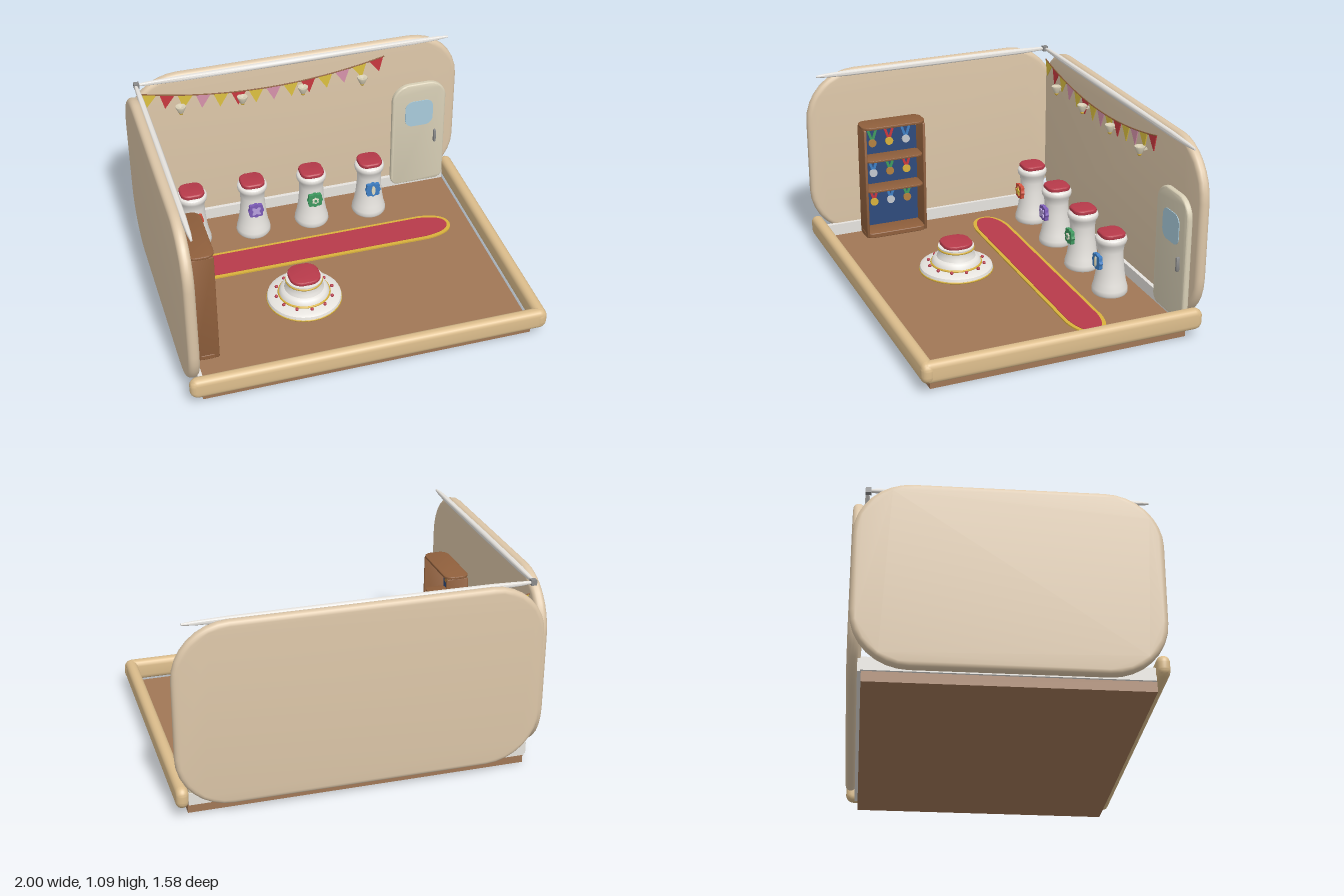
import * as THREE from 'three';
import { toCreasedNormals } from 'three/addons/utils/BufferGeometryUtils.js';

const C = {
  wall: 0xdcc6a8, rail: 0xdcbd8c, floor: 0xa07756, white: 0xe6e3de, red: 0xb73a4a, gold: 0xd9b23c,
  cream: 0xd8cfb6, wood: 0x8f5f3c, navy: 0x2e4a7c, glass: 0xa9cbdb, grey: 0x8a8a8a, silver: 0xc3c8cf,
  bronze: 0xb3803f, pink: 0xd792ab, yellow: 0xdcc040, flagRed: 0xc8383f, blue: 0x3f7fc4, green: 0x3f9a60,
  purple: 0x7d5cb8, orange: 0xd2503c,
};
const FLOOR = 0.055;

function mesh(parent, name, geometry, color, x = 0, y = 0, z = 0, double = false) {
  const m = new THREE.Mesh(geometry, new THREE.MeshStandardMaterial({ color }));
  if (double) m.material.side = THREE.DoubleSide;
  m.name = name;
  m.position.set(x, y, z);
  parent.add(m);
  return m;
}

function group(parent, name, x = 0, y = 0, z = 0) {
  const g = new THREE.Group();
  g.name = name;
  g.position.set(x, y, z);
  parent.add(g);
  return g;
}

// Rounded panel in the XY plane, centred, with a soft bevelled rim
function slab(w, h, d, r, bevel = 0, segments = 5, rBottom = r) {
  const a = w / 2 - bevel, b = h / 2 - bevel;
  const t = Math.max(r - bevel, 0.001), u = Math.max(rBottom - bevel, 0.001);
  const s = new THREE.Shape();
  s.absarc(a - t, b - t, t, 0, Math.PI / 2);
  s.absarc(-a + t, b - t, t, Math.PI / 2, Math.PI);
  s.absarc(-a + u, -b + u, u, Math.PI, Math.PI * 1.5);
  s.absarc(a - u, -b + u, u, Math.PI * 1.5, Math.PI * 2);
  return extrude(s, d, bevel, segments);
}

function extrude(shape, d, bevel = 0, segments = 5) {
  const g = new THREE.ExtrudeGeometry(shape, {
    depth: d - 2 * bevel, bevelEnabled: bevel > 0, bevelSize: bevel, bevelThickness: bevel,
    bevelSegments: 4, curveSegments: segments,
  });
  g.translate(0, 0, -(d - 2 * bevel) / 2);
  return toCreasedNormals(g, 0.7);
}

// Flat badge whose outline follows a radius rule
function polar(radius, d, n = 40) {
  const pts = [];
  for (let i = 0; i < n; i++) {
    const a = (i / n) * Math.PI * 2, r = radius(a);
    pts.push(new THREE.Vector2(Math.sin(-a) * r, Math.cos(a) * r));
  }
  return extrude(new THREE.Shape(pts), d);
}

const lathe = (pts, n = 32) =>
  toCreasedNormals(new THREE.LatheGeometry(pts.map(p => new THREE.Vector2(...p)), n), 0.7);
const lieFlat = m => { m.rotation.x = -Math.PI / 2; return m; };
const faceLeft = m => { m.rotation.y = Math.PI / 2; return m; };

function addRoom(root) {
  mesh(root, 'floor', new THREE.BoxGeometry(1.855, FLOOR, 1.45), C.floor, 0, FLOOR / 2, 0.005);
  const room = group(root, 'walls');
  mesh(room, 'backWall', slab(1.98, 1.03, 0.058, 0.3, 0.026, 4), C.wall, 0.005, 0.57, -0.764);
  faceLeft(mesh(room, 'rightSideWall', slab(1.58, 1.03, 0.062, 0.3, 0.026, 4), C.wall, -0.967, 0.57, 0));
  mesh(room, 'frontRail', slab(2, 0.12, 0.066, 0.045, 0.03), C.rail, 0, 0.119, 0.755);
  faceLeft(mesh(room, 'leftRail', slab(1.58, 0.12, 0.066, 0.045, 0.03), C.rail, 0.962, 0.119, 0));

  // Tapered top trims and straight skirtings
  const trims = group(root, 'trims');
  const rod = length => {
    const half = length / 2;
    return lathe([[0, -half], [0.006, -half], [0.012, -half * 0.93], [0.017, -half * 0.75],
      [0.019, 0], [0.017, half * 0.75], [0.012, half * 0.93], [0.006, half], [0, half]], 10);
  };
  mesh(trims, 'backTopTrim', rod(1.85), C.white, -0.003, 1.068, -0.722).rotation.z = Math.PI / 2;
  mesh(trims, 'sideTopTrim', rod(1.46), C.white, -0.93, 1.068, 0).rotation.x = Math.PI / 2;
  mesh(trims, 'trimJoint', new THREE.BoxGeometry(0.03, 0.03, 0.03), C.grey, -0.926, 1.068, -0.718);
  mesh(trims, 'backSkirting', new THREE.BoxGeometry(1.85, 0.07, 0.026), C.white, 0, 0.09, -0.726);
  mesh(trims, 'sideSkirting', new THREE.BoxGeometry(0.026, 0.07, 1.45), C.white, -0.928, 0.09, 0);
}

function addDoor(root) {
  const door = group(root, 'door', 0.755, 0, -0.718);
  mesh(door, 'doorPanel', slab(0.335, 0.71, 0.034, 0.11, 0.01, 6, 0.05), C.cream, 0, 0.425, 0);
  mesh(door, 'doorWindow', slab(0.175, 0.175, 0.01, 0.05), C.glass, 0, 0.577, 0.016);
  mesh(door, 'doorHandle', slab(0.015, 0.085, 0.02, 0.007, 0.004), C.grey, 0.103, 0.4, 0.026);
}

function addPedestals(root) {
  const badges = [
    [C.orange, C.yellow, a => (Math.round(a / (Math.PI / 5) * 1e4) / 1e4 % 2 === 0 ? 0.03 : 0.014), 10],
    [C.purple, 0xb9a2e0, a => 0.024 + 0.009 * Math.cos(4 * a + Math.PI), 40],
    [C.green, 0xe8e4d2, a => 0.019 + 0.003 * Math.cos(6 * a), 40],
    [C.blue, 0xe2dcc0, a => 1 / Math.hypot(Math.cos(a) / 0.031, Math.sin(a) / 0.011), 40],
  ];
  const body = lathe([[0, 0], [0.095, 0], [0.102, 0.012], [0.1, 0.035], [0.09, 0.07], [0.08, 0.13], [0.073, 0.2],
    [0.071, 0.26], [0.076, 0.295], [0.086, 0.31], [0.089, 0.325], [0.086, 0.338], [0.074, 0.347], [0, 0.347]]);
  badges.forEach(([plate, mark, rule, n], i) => {
    const p = group(root, 'pedestal', -0.69 + i * 0.36, FLOOR, -0.537);
    mesh(p, 'pedestalBody', body, C.white);
    lieFlat(mesh(p, 'cushion', slab(0.142, 0.142, 0.028, 0.05, 0.012), C.red, 0, 0.357, 0));
    mesh(p, 'badgePlate', polar(a => 0.046 + 0.004 * Math.cos(8 * a) - 0.003 * Math.cos(4 * a), 0.022),
      plate, 0, 0.2, 0.08);
    mesh(p, 'badgeMark', polar(rule, 0.008, n), mark, 0, 0.2, 0.093);
    if (i === 2) mesh(p, 'badgeCentre', polar(() => 0.009, 0.006), C.green, 0, 0.2, 0.096);

    // Small wall lamp above each pedestal
    const lamp = group(root, 'lamp', -0.69 + i * 0.36, 0.86, -0.692);
    mesh(lamp, 'lampShade', lathe([[0, 0], [0.014, 0], [0.03, 0.034], [0.03, 0.042], [0.02, 0.042], [0, 0.03]], 16), C.cream);
    mesh(lamp, 'lampBulb', new THREE.SphereGeometry(0.012, 12, 8), C.gold, 0, -0.004, 0);
    mesh(lamp, 'lampArm', new THREE.BoxGeometry(0.012, 0.012, 0.04), C.cream, 0, 0.02, -0.03);
  });
}

function addStage(root) {
  const s = group(root, 'stage', -0.21, FLOOR, 0.15);
  mesh(s, 'stageBody', lathe([[0, 0], [0.205, 0], [0.212, 0.012], [0.208, 0.027], [0.19, 0.037], [0.145, 0.043],
    [0.14, 0.06], [0.13, 0.078], [0.112, 0.085], [0.106, 0.1], [0.1, 0.125], [0.104, 0.15], [0, 0.155]], 40), C.white);
  [[0.208, 0.006], [0.143, 0.046], [0.1, 0.136]].forEach(([r, y]) =>
    lieFlat(mesh(s, 'goldBand', new THREE.TorusGeometry(r, 0.007, 8, 40), C.gold, 0, y, 0)));
  lieFlat(mesh(s, 'stageCushion', slab(0.178, 0.178, 0.024, 0.07, 0.01), C.red, 0, 0.164, 0));
  for (let i = 0; i < 12; i++) {
    const a = (i / 12) * Math.PI * 2;
    mesh(s, 'bead', new THREE.SphereGeometry(0.01, 10, 8), C.red, Math.sin(a) * 0.162, 0.045, Math.cos(a) * 0.162);
  }
}

function addRug(root) {
  // Long oval with straight sides
  const oval = (a, b) => {
    const s = new THREE.Shape(), c = a * 0.8;
    s.moveTo(-c, b).bezierCurveTo(-a * 0.92, b * 0.9, -a, b * 0.6, -a, 0)
      .bezierCurveTo(-a, -b * 0.6, -a * 0.92, -b * 0.9, -c, -b).lineTo(c, -b)
      .bezierCurveTo(a * 0.92, -b * 0.9, a, -b * 0.6, a, 0).bezierCurveTo(a, b * 0.6, a * 0.92, b * 0.9, c, b);
    return s;
  };
  const rug = group(root, 'rug', 0, FLOOR, -0.255);
  lieFlat(mesh(rug, 'rugBorder', extrude(oval(0.81, 0.108), 0.01, 0, 10), C.gold, 0, 0.004, 0));
  lieFlat(mesh(rug, 'rugField', extrude(oval(0.79, 0.088), 0.01, 0, 10), C.red, 0, 0.007, 0));
}

function addCabinet(root) {
  const cab = group(root, 'medalCabinet', -0.845, 0, 0.31);
  faceLeft(mesh(cab, 'cabinetBack', slab(0.36, 0.68, 0.012, 0.08, 0, 8, 0.01), C.navy, -0.062, 0.4, 0));
  for (const side of [-1, 1])
    mesh(cab, 'cabinetSide', slab(0.13, 0.69, 0.016, 0.012, 0.004), C.wood, 0, 0.405, side * 0.182);
  lieFlat(mesh(cab, 'cabinetTop', slab(0.146, 0.392, 0.016, 0.05, 0.005), C.wood, 0, 0.757, 0));
  lieFlat(mesh(cab, 'cabinetBase', slab(0.146, 0.385, 0.03, 0.05, 0.005), C.wood, 0, 0.075, 0));
  for (const y of [0.355, 0.547])
    lieFlat(mesh(cab, 'shelf', slab(0.13, 0.36, 0.012, 0.04, 0.003), C.wood, 0, y, 0));

  // Three rows of medals on crossed ribbons
  const kinds = [[C.green, C.bronze], [C.flagRed, C.gold], [C.blue, C.silver]];
  for (let row = 0; row < 3; row++) for (let col = 0; col < 3; col++) {
    const [ribbon, metal] = kinds[(col - row + 3) % 3];
    const m = group(cab, 'medal', -0.048, [0.624, 0.432, 0.245][row], 0.105 - col * 0.105);
    mesh(m, 'medalDisc', new THREE.CylinderGeometry(0.024, 0.024, 0.012, 20), metal).rotation.z = Math.PI / 2;
    for (const side of [-1, 1])
      mesh(m, 'ribbon', new THREE.BoxGeometry(0.006, 0.066, 0.015), ribbon, -0.004, 0.047, side * 0.013)
        .rotation.x = side * 0.32;
  }
}

function addBunting(root) {
  const bunting = group(root, 'bunting');
  const sag = x => 0.918 + 0.075 * ((x + 0.19) / 0.67) ** 2;
  const pts = [];
  for (let x = -0.91; x <= 0.54; x += 0.12) pts.push(new THREE.Vector3(x, sag(x), -0.718));
  mesh(bunting, 'string', new THREE.TubeGeometry(new THREE.CatmullRomCurve3(pts), 40, 0.004, 6), C.wood);
  const flag = new THREE.Shape([[-0.043, 0], [0, -0.088], [0.043, 0]].map(p => new THREE.Vector2(...p)));
  const colors = [C.yellow, C.flagRed, C.yellow, C.pink];
  for (let i = 0; i < 14; i++) {
    const x = -0.862 + i * 0.1033;
    mesh(bunting, 'flag', extrude(flag, 0.006), colors[i % 4], x, sag(x), -0.718)
      .rotation.z = Math.atan(0.334 * (x + 0.19));
  }
}

export function createModel() {
  const root = new THREE.Group();
  root.name = 'trophyRoom';
  [addRoom, addDoor, addPedestals, addStage, addRug, addCabinet, addBunting].forEach(add => add(root));
  return root;
}
